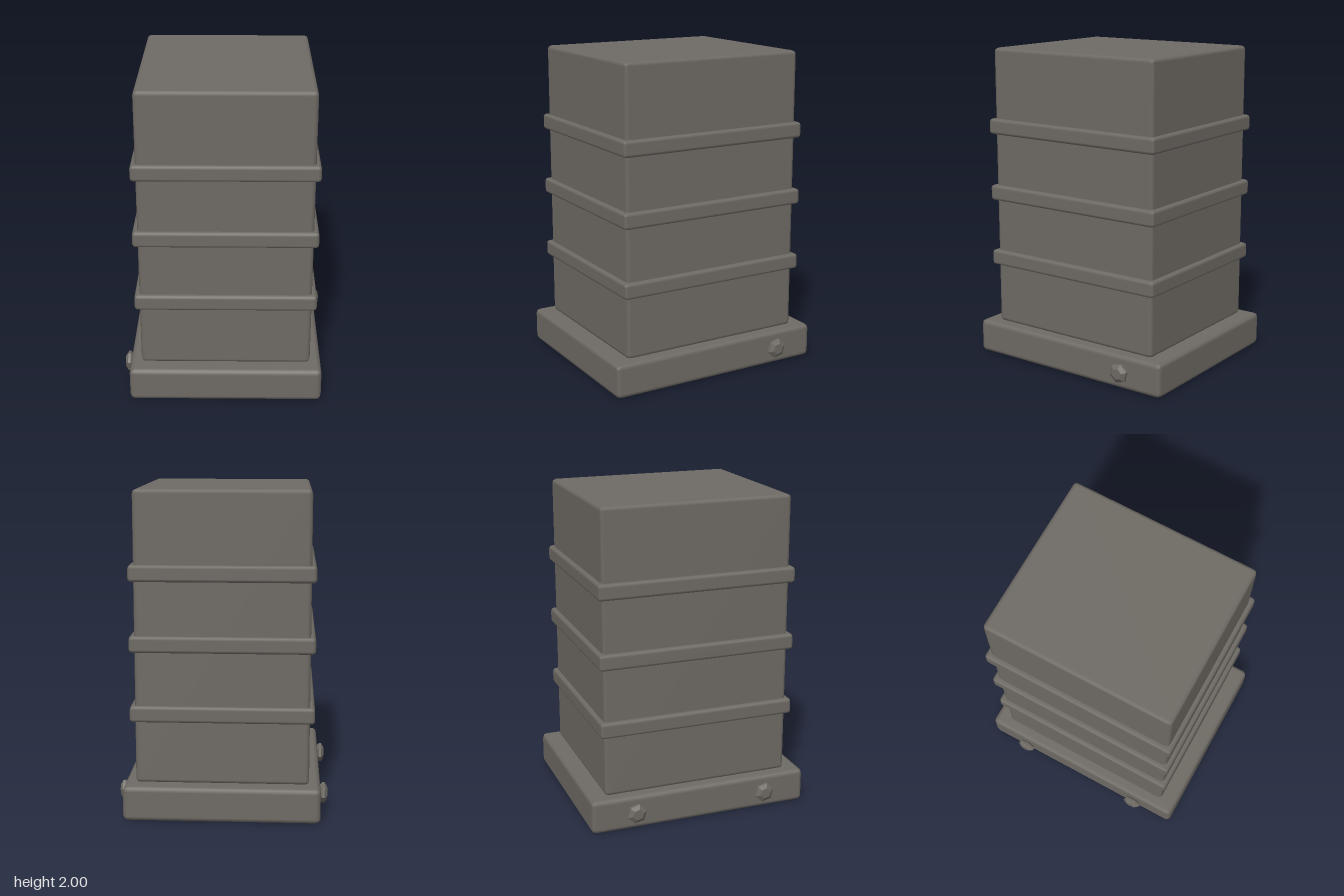
import * as THREE from 'three';
import { RoundedBoxGeometry } from 'three/addons/geometries/RoundedBoxGeometry.js';

export function createModel() {
  const model = new THREE.Group();
  model.name = 'bandedCabinet';
  const metal = new THREE.MeshStandardMaterial({ color: 0x6e6a64 });
  metal.name = 'warm grey metal';

  // Rounded block spanning y0..y1, centred on x and z
  function addBlock(name, width, depth, y0, y1, radius) {
    const mesh = new THREE.Mesh(new RoundedBoxGeometry(width, y1 - y0, depth, 1, radius), metal);
    mesh.name = name;
    mesh.position.y = (y0 + y1) / 2;
    model.add(mesh);
  }

  addBlock('base', 1.2, 1.42, 0, 0.215, 0.03);
  addBlock('body', 1.06, 1.205, 0.21, 2, 0.025);

  // Three raised bands around the body
  [0.648, 1.077, 1.505].forEach((y, i) => {
    addBlock(`band${i + 1}`, 1.12, 1.26, y - 0.05, y + 0.05, 0.02);
  });

  // Hexagonal bolt head with tapered rims
  const profile = [[0.05, -0.01], [0.05, 0.003], [0.063, 0.016], [0.063, 0.03], [0.036, 0.047], [0, 0.047]]
    .map(([r, y]) => new THREE.Vector2(r, y));
  const boltGeometry = new THREE.LatheGeometry(profile, 6, Math.PI / 12).toNonIndexed();
  boltGeometry.computeVertexNormals();

  // One bolt on the left side of the base, two on the right
  [[1, -0.43], [-1, -0.43], [-1, 0.425]].forEach(([side, z], i) => {
    const bolt = new THREE.Mesh(boltGeometry, metal);
    bolt.name = `bolt${i + 1}`;
    bolt.rotation.z = -side * Math.PI / 2;
    bolt.position.set(side * 0.6, 0.112, z);
    model.add(bolt);
  });

  return model;
}
